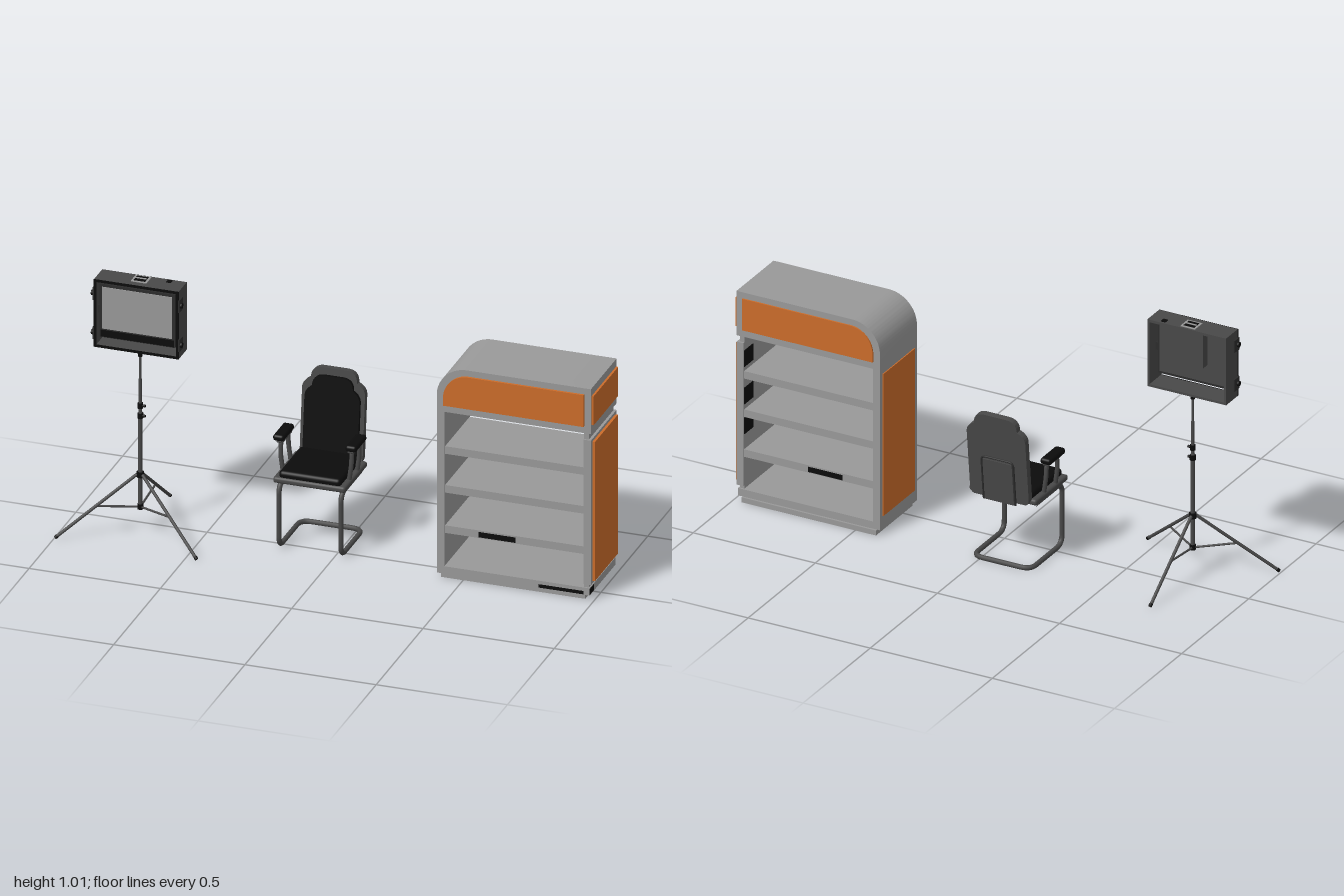
import * as THREE from 'three';
import { toCreasedNormals } from 'three/addons/utils/BufferGeometryUtils.js';
import { RoundedBoxGeometry } from 'three/addons/geometries/RoundedBoxGeometry.js';

const mat = (name, color) => Object.assign(new THREE.MeshStandardMaterial({ color }), { name });
const V = (x, y, z) => new THREE.Vector3(x, y, z);

export function createModel() {
  const steel = mat('shelf grey', 0x999999);
  const orange = mat('orange panel', 0xcb6c2a);
  const dark = mat('dark grey', 0x484848);
  const black = mat('black', 0x0c0c0c);
  const charcoal = mat('charcoal', 0x2c2c2c);
  const root = new THREE.Group();
  let group;
  const begin = (name) => { group = new THREE.Group(); group.name = name; root.add(group); return group; };
  const add = (name, geo, material) => {
    const m = new THREE.Mesh(geo, material);
    m.name = name;
    group.add(m);
    return m;
  };
  // Box given by its limits on each axis
  const box = (name, material, x0, x1, y0, y1, z0, z1, r = 0) => {
    const s = [x1 - x0, y1 - y0, z1 - z0];
    const m = add(name, r ? new RoundedBoxGeometry(...s, 3, r) : new THREE.BoxGeometry(...s), material);
    m.position.set((x0 + x1) / 2, (y0 + y1) / 2, (z0 + z1) / 2);
    return m;
  };
  // Straight rod between two points
  const rod = (name, material, a, b, r) => {
    const m = add(name, new THREE.CylinderGeometry(r, r, a.distanceTo(b), 12), material);
    m.position.copy(a).add(b).multiplyScalar(0.5);
    m.quaternion.setFromUnitVectors(V(0, 1, 0), b.clone().sub(a).normalize());
    return m;
  };
  // Bent tube with rounded corners
  const bentTube = (name, material, pts, bend, r) => {
    const path = new THREE.CurvePath();
    let last = pts[0];
    for (let i = 1; i < pts.length - 1; i++) {
      const p = pts[i];
      const a = p.clone().add(pts[i - 1].clone().sub(p).setLength(bend));
      const b = p.clone().add(pts[i + 1].clone().sub(p).setLength(bend));
      path.add(new THREE.LineCurve3(last, a));
      path.add(new THREE.QuadraticBezierCurve3(a, p, b));
      last = b;
    }
    path.add(new THREE.LineCurve3(last, pts[pts.length - 1]));
    return add(name, new THREE.TubeGeometry(path, 100, r, 10), material);
  };
  const extrude = (name, material, shape, z0, z1) => {
    const geo = new THREE.ExtrudeGeometry(shape, { depth: z1 - z0, bevelEnabled: false, curveSegments: 16 });
    const m = add(name, toCreasedNormals(geo, 0.6), material);
    m.position.z = z0;
    return m;
  };
  // Rectangle with one rounded upper corner on the -x side
  const headerShape = (x0, x1, y0, y1, r) => {
    const s = new THREE.Shape();
    s.moveTo(x0, y0);
    s.lineTo(x1, y0);
    s.lineTo(x1, y1);
    s.lineTo(x0 + r, y1);
    s.absarc(x0 + r, y1 - r, r, Math.PI / 2, Math.PI, false);
    s.closePath();
    return s;
  };

  // ---- Display shelf ----
  begin('displayShelf');
  const zb = -0.195, zf = 0.08;
  extrude('header', steel, headerShape(0.403, 0.99, 0.662, 0.84, 0.115), zb, zf);
  const panel = headerShape(0.43, 0.965, 0.69, 0.816, 0.095);
  extrude('frontHeaderPanel', orange, panel, zf, 0.089);
  extrude('backHeaderPanel', orange, panel, -0.201, zb);
  box('sideHeaderPanel', orange, 0.99, 0.998, 0.695, 0.81, -0.19, 0.072);
  box('leftUpright', steel, 0.403, 0.432, 0.02, 0.68, zb, zf);
  box('leftUprightPanel', orange, 0.399, 0.403, 0.07, 0.64, -0.175, 0.06);
  box('rightUpright', steel, 0.962, 0.99, 0.062, 0.636, zb, zf);
  box('rightUprightPanel', orange, 0.99, 1.0, 0.073, 0.625, -0.18, 0.065);
  box('upperSeam', steel, 0.962, 0.98, 0.636, 0.662, -0.188, 0.074);
  box('lowerSeam', steel, 0.962, 0.98, 0.048, 0.062, -0.188, 0.074);
  for (const y of [0.178, 0.338, 0.492]) box('shelfBoard', steel, 0.432, 0.962, y, y + 0.03, -0.19, 0.072);
  box('baseBoard', steel, 0.432, 0.985, 0.02, 0.049, zb, zf);
  box('plinth', steel, 0.415, 0.965, 0, 0.02, -0.203, 0.07);
  // Thin dark fittings
  for (const z of [-0.191, 0.072]) box('shelfLabel', black, 0.56, 0.7, 0.181, 0.202, z, z + 0.001);
  box('baseLabel', black, 0.79, 0.962, 0.022, 0.035, zf, zf + 0.001);
  box('baseVent', black, 0.985, 0.986, 0.023, 0.046, 0.035, 0.08);
  for (const y of [0.27, 0.39, 0.54]) box('shelfFitting', black, 0.959, 0.962, y, y + 0.065, -0.192, -0.125);

  // ---- Cantilever chair ----
  const chair = begin('chair');
  chair.position.x = -0.0925;
  const w = 0.118;
  const half = [[0.256, -0.16], [0.256, 0.045], [0.01, 0.045], [0.01, -0.19]];
  const legPts = [...half.map(([y, z]) => V(-w, y, z)), ...half.reverse().map(([y, z]) => V(w, y, z))];
  bentTube('legFrame', dark, legPts, 0.04, 0.0095);
  box('seatFrame', dark, -0.138, 0.138, 0.264, 0.288, -0.185, 0.058, 0.01);
  box('seatUnderPanel', charcoal, -0.1, 0.1, 0.26, 0.266, -0.16, 0.03);
  box('seatCushion', black, -0.118, 0.118, 0.28, 0.312, -0.18, 0.052, 0.014);
  for (const s of [-1, 1]) {
    const x = s * 0.135;
    bentTube('armSupport', dark, [V(s * 0.125, 0.275, -0.02), V(x, 0.345, -0.02), V(x, 0.4, -0.025),
      V(x, 0.4, -0.1), V(x, 0.345, -0.105), V(s * 0.125, 0.275, -0.105)], 0.018, 0.0085);
    box('armBase', dark, x - 0.013, x + 0.013, 0.392, 0.405, -0.11, -0.01, 0.005);
    box('armPad', black, s * 0.138 - 0.021, s * 0.138 + 0.021, 0.402, 0.426, -0.12, 0, 0.01);
  }
  // Reclined backrest: shoulders with a narrower head section
  const back = new THREE.Group();
  back.name = 'backrest';
  back.position.set(0, 0.26, -0.2);
  back.rotation.x = -0.108;
  chair.add(back);
  group = back;
  const backShape = (b, h, top, low) => {
    const s = new THREE.Shape();
    s.moveTo(-b + 0.02, low);
    s.lineTo(b - 0.02, low);
    s.quadraticCurveTo(b, low, b, low + 0.03);
    s.lineTo(b, top - 0.085);
    s.quadraticCurveTo(b - 0.002, top - 0.058, h, top - 0.045);
    s.quadraticCurveTo(h, top, h - 0.045, top);
    s.lineTo(-h + 0.045, top);
    s.quadraticCurveTo(-h, top, -h, top - 0.045);
    s.quadraticCurveTo(-b + 0.002, top - 0.058, -b, top - 0.085);
    s.lineTo(-b, low + 0.03);
    s.quadraticCurveTo(-b, low, -b + 0.02, low);
    return s;
  };
  extrude('backShell', dark, backShape(0.12, 0.088, 0.357, 0.01), -0.003, 0.022);
  extrude('backCushion', black, backShape(0.105, 0.078, 0.33, 0.03), 0.022, 0.036);
  // Raised bracket on the rear of the shell
  box('backBracketPlate', dark, -0.06, 0.06, 0, 0.17, -0.007, -0.003);
  bentTube('backBracket', charcoal, [V(-0.065, 0, -0.004), V(-0.065, 0.18, -0.004), V(0.065, 0.18, -0.004), V(0.065, 0, -0.004)], 0.02, 0.004);

  // ---- Tripod ----
  const tripod = begin('tripod');
  tripod.position.set(-0.725, 0, 0.083);
  const feet = [V(-0.27, 0.006, 0.155), V(0.27, 0.006, 0.155), V(0, 0.006, -0.318)];
  for (const foot of feet) {
    const dir = V(foot.x, 0, foot.z).normalize();
    const top = dir.clone().multiplyScalar(0.012).setY(0.233);
    const mid = top.clone().lerp(foot, 0.5);
    rod('tripodLeg', dark, top, foot, 0.006);
    rod('tripodStay', dark, dir.clone().multiplyScalar(0.008).setY(0.104), mid, 0.004);
    rod('legFoot', black, foot.clone().lerp(top, 0.03), foot, 0.0068);
  }
  rod('lowerPole', dark, V(0, 0.098, 0), V(0, 0.48, 0), 0.0075);
  rod('middlePole', dark, V(0, 0.47, 0), V(0, 0.61, 0), 0.006);
  rod('upperPole', dark, V(0, 0.6, 0), V(0, 0.738, 0), 0.0045);
  for (const [y, r] of [[0.105, 0.011], [0.232, 0.014], [0.465, 0.011], [0.505, 0.0105], [0.71, 0.008]])
    rod('poleCollar', black, V(0, y - 0.01, 0), V(0, y + 0.01, 0), r);
  for (const y of [0.465, 0.505]) rod('clampKnob', black, V(0, y, 0), V(0.02, y, 0), 0.005);

  // ---- Monitor in an open case ----
  const monitor = begin('monitor');
  monitor.position.x = -0.725;
  const hw = 0.161, z0 = 0.038, z1 = 0.125;
  box('caseTop', dark, -hw, hw, 0.99, 1.0, z0, z1);
  box('caseBottom', dark, -hw, hw, 0.732, 0.741, z0, z1);
  for (const s of [-1, 1]) {
    box('caseSide', dark, s * 0.157 - 0.004, s * 0.157 + 0.004, 0.732, 1.0, z0, z1);
    for (const y of [0.787, 0.943]) {
      box('sideBracket', charcoal, s * 0.163 - 0.003, s * 0.163 + 0.003, y - 0.024, y + 0.024, 0.092, 0.13);
      rod('sideKnob', black, V(s * 0.16, y, 0.118), V(s * 0.173, y, 0.118), 0.01);
    }
    box('panelMount', charcoal, s * 0.147 - 0.008, s * 0.147 + 0.008, 0.86, 0.89, 0.085, 0.105);
    // Dark edging around the front opening
    box('frontEdgeSide', black, s * 0.157 - 0.005, s * 0.157 + 0.005, 0.732, 1.0, z1, z1 + 0.002);
  }
  for (const y of [0.732, 0.99]) box('frontEdge', black, -hw, hw, y, y + 0.01, z1, z1 + 0.002);
  box('displayBody', charcoal, -0.144, 0.144, 0.77, 0.981, 0.085, 0.116);
  box('screen', steel, -0.133, 0.133, 0.805, 0.97, 0.116, 0.119);
  box('controlStrip', black, -0.14, 0.14, 0.773, 0.799, 0.116, 0.118);
  box('displayBackPlate', dark, -0.135, 0.135, 0.78, 0.975, 0.082, 0.085);
  box('electronicsBox', dark, -0.06, 0.06, 0.85, 0.985, 0.05, 0.082);
  // Handle recess and button on the case top
  box('handlePlate', steel, -0.03, 0.03, 1.0, 1.003, 0.046, 0.1);
  box('handleRecess', black, -0.022, 0.022, 1.003, 1.004, 0.053, 0.093);
  box('handleBar', steel, -0.022, 0.022, 1.003, 1.006, 0.069, 0.076);
  box('topButton', black, 0.092, 0.11, 1.0, 1.003, 0.046, 0.066);
  return root;
}
